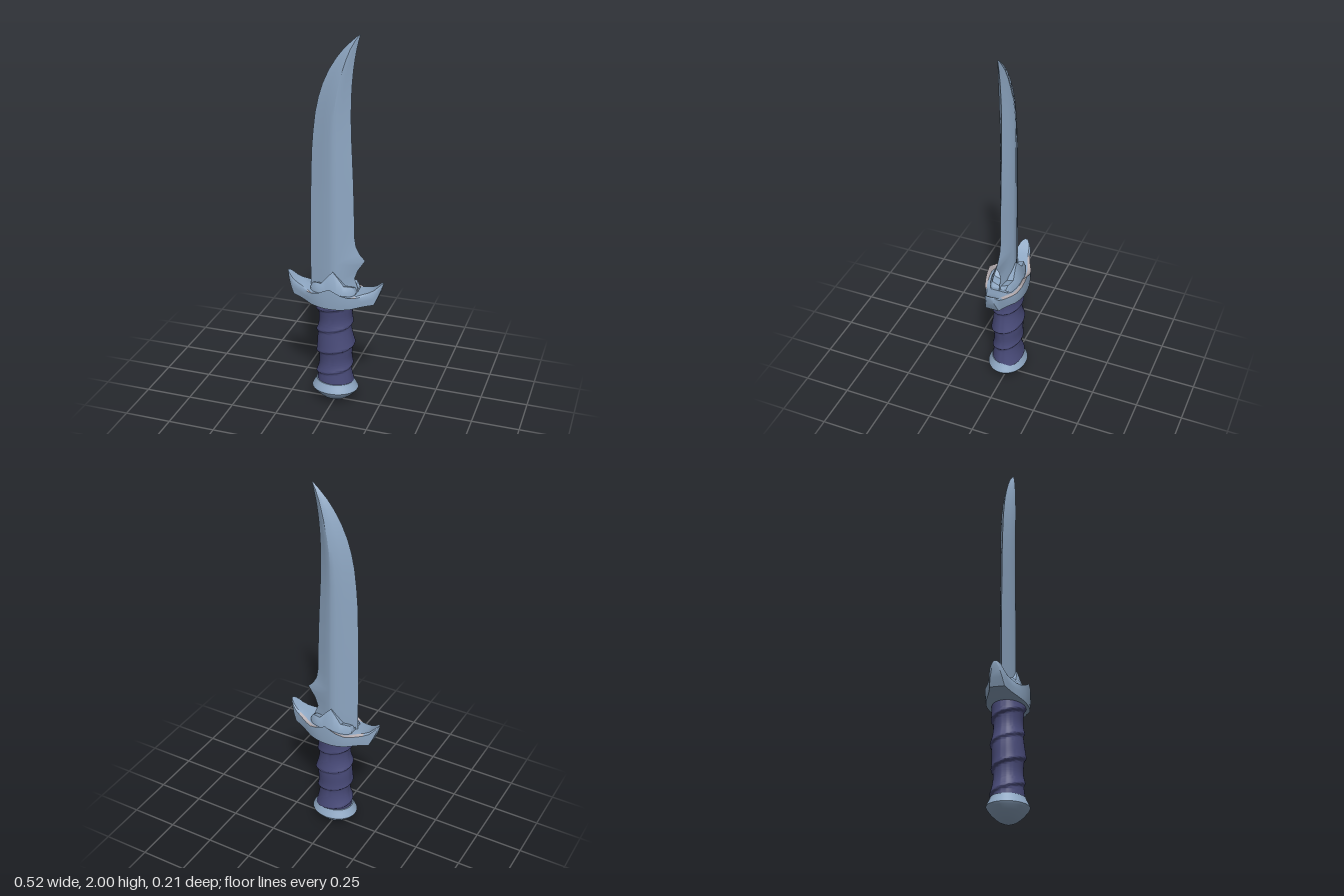
import * as THREE from 'three';
import { toCreasedNormals } from 'three/addons/utils/BufferGeometryUtils.js';

const steel = new THREE.MeshStandardMaterial({ color: 0x8fa8c4 });
steel.name = 'blue steel';
const wrap = new THREE.MeshStandardMaterial({ color: 0x484a78 });
wrap.name = 'indigo leather';
const pale = new THREE.MeshStandardMaterial({ color: 0xb8b0b4 });
pale.name = 'pale worn metal';

// Skin closed rings of points; slot(row, column) picks the material group.
function loft(rings, crease, slot = () => 0) {
  const n = rings[0].length, lists = [[], []];
  for (let i = 0; i < rings.length - 1; i++) {
    for (let j = 0; j < n; j++) {
      const a = i * n + j, b = i * n + (j + 1) % n;
      lists[slot(i, j)].push(a, b, b + n, a, b + n, a + n);
    }
  }
  const end = (rings.length - 1) * n;
  for (let j = 1; j < n - 1; j++) {
    lists[0].push(0, j + 1, j, end, end + j, end + j + 1);
  }
  const g = new THREE.BufferGeometry();
  g.setAttribute('position', new THREE.Float32BufferAttribute(rings.flat(2), 3));
  g.setIndex([...lists[0], ...lists[1]]);
  g.addGroup(0, lists[0].length, 0);
  if (lists[1].length) g.addGroup(lists[0].length, lists[1].length, 1);
  return toCreasedNormals(g, crease);
}

// Turn rows given for x >= 0 into a full list running from -x to +x.
const mirrorRows = rows => [
  ...rows.slice(1).reverse().map(([x, ...rest]) => [-x, ...rest]), ...rows];

// Curved blade: y, back edge, ridge, cutting edge, half thickness
function bladeGeometry() {
  const rows = [
    [0.64, -0.135, 0, 0.13, 0.036], [0.69, -0.135, 0, 0.118, 0.038],
    [0.73, -0.135, 0, 0.104, 0.04], [0.78, -0.135, 0, 0.122, 0.04],
    [0.81, -0.135, 0, 0.142, 0.04], [0.838, -0.135, 0, 0.16, 0.04],
    [0.87, -0.135, 0, 0.13, 0.04], [0.91, -0.135, 0, 0.11, 0.04],
    [0.96, -0.135, 0, 0.102, 0.04], [1.1, -0.133, 0, 0.099, 0.04],
    [1.25, -0.13, 0, 0.094, 0.04], [1.4, -0.125, 0, 0.087, 0.04],
    [1.5, -0.117, 0, 0.082, 0.04], [1.6, -0.105, 0.004, 0.08, 0.04],
    [1.68, -0.088, 0.013, 0.081, 0.039], [1.75, -0.066, 0.025, 0.084, 0.036],
    [1.82, -0.034, 0.042, 0.09, 0.031], [1.88, 0.003, 0.06, 0.098, 0.025],
    [1.93, 0.042, 0.079, 0.107, 0.018], [1.97, 0.083, 0.1, 0.116, 0.01],
    [1.99, 0.106, 0.114, 0.122, 0.005], [2, 0.12, 0.122, 0.124, 0.001]];
  return loft(rows.map(([y, l, m, r, t]) => {
    const reach = Math.min(r - m, 0.105);
    const front = [[l, 0], [l + (m - l) * 0.5, 0.56], [l + (m - l) * 0.82, 0.9],
      [m, 1], [m + reach * 0.18, 0.9], [m + reach * 0.5, 0.56], [r, 0]];
    const back = front.slice(1, -1).reverse().map(([x, z]) => [x, -z]);
    return [...front, ...back].map(([x, z]) => [x, y, z * t]);
  }), 0.5);
}

// Crossguard with upswept tips: x, bottom, rim top, half depth, dish depth
function guardGeometry() {
  const rows = mirrorRows([
    [0, 0.585, 0.7, 0.107, 0.03], [0.03, 0.585, 0.686, 0.106, 0.025],
    [0.06, 0.587, 0.67, 0.102, 0.015], [0.1, 0.59, 0.657, 0.09, 0.004],
    [0.13, 0.596, 0.656, 0.075, -0.006], [0.16, 0.602, 0.661, 0.06, -0.01],
    [0.19, 0.608, 0.67, 0.048, -0.01], [0.218, 0.612, 0.684, 0.039, -0.01],
    [0.236, 0.652, 0.702, 0.031, -0.009], [0.25, 0.69, 0.716, 0.02, -0.007],
    [0.259, 0.718, 0.726, 0.008, -0.003]]);
  const rings = rows.map(([x, b, t, z, d]) => [
    [x, t, -z], [x, t - d, -z * 0.76], [x, t - d, 0], [x, t - d, z * 0.88],
    [x, t, z], [x, (t + b) / 2, z], [x, b, z * 0.95],
    [x, b, -z * 0.95], [x, (t + b) / 2, -z]]);
  // pale rims along the upper edges
  const rim = (i, j) => {
    const x = Math.abs(rows[i][0] + rows[i + 1][0]) / 2;
    return (j === 0 && x < 0.2) || (j === 3 && x < 0.12) ? 1 : 0;
  };
  return loft(rings, 0.7, rim);
}

// Pointed collar hugging the blade root: x, top, foot half depth, top half depth
function collarGeometry() {
  const rows = mirrorRows([
    [0, 0.772, 0.08, 0.046], [0.03, 0.74, 0.078, 0.05],
    [0.062, 0.702, 0.072, 0.054], [0.085, 0.703, 0.065, 0.05],
    [0.108, 0.7, 0.056, 0.044], [0.122, 0.675, 0.045, 0.036]]);
  return loft(rows.map(([x, t, zf, zt]) => [
    [x, t, -zt], [x, t - 0.02, 0], [x, t, zt], [x, 0.675 - 0.05 * Math.abs(x), zf],
    [x, 0.62, zf], [x, 0.62, -zf], [x, 0.675 - 0.05 * Math.abs(x), -zf]]), 0.6);
}

// Waisted oval grip with a raised spiral wrap
function gripGeometry() {
  const rings = [], sides = 56, steps = 110, pitch = 0.125;
  for (let i = 0; i <= steps; i++) {
    const y = 0.11 + 0.495 * i / steps, ring = [];
    const base = 0.091 + 0.005 * Math.cos((y - 0.355) * 26);
    for (let j = 0; j < sides; j++) {
      const turn = j / sides, a = turn * Math.PI * 2;
      const p = (y - 0.319) / pitch - turn;
      const t = p - Math.floor(p);
      const r = base + 0.012 * (t < 0.88 ? Math.pow(1 - t / 0.88, 3) : (t - 0.88) / 0.12);
      ring.push([Math.sin(a) * r, y, Math.cos(a) * r * 0.83]);
    }
    rings.push(ring);
  }
  return loft(rings, 0.9);
}

// Rounded pommel, squeezed front to back
function pommelGeometry() {
  const profile = [[0, 0], [0.025, 0.003], [0.05, 0.012], [0.075, 0.027], [0.1, 0.048],
    [0.119, 0.068], [0.126, 0.08], [0.117, 0.098], [0.108, 0.112], [0.102, 0.125], [0, 0.128]];
  const g = new THREE.LatheGeometry(profile.map(p => new THREE.Vector2(...p)), 48);
  g.scale(1, 1, 0.83);
  return toCreasedNormals(g, 0.6);
}

export function createModel() {
  const group = new THREE.Group();
  group.name = 'dagger';
  const add = (name, geometry, material) => {
    const mesh = new THREE.Mesh(geometry, material);
    mesh.name = name;
    group.add(mesh);
  };
  add('blade', bladeGeometry(), steel);
  add('crossguard', guardGeometry(), [steel, pale]);
  add('bladeCollar', collarGeometry(), steel);
  add('grip', gripGeometry(), wrap);
  add('pommel', pommelGeometry(), steel);
  return group;
}
